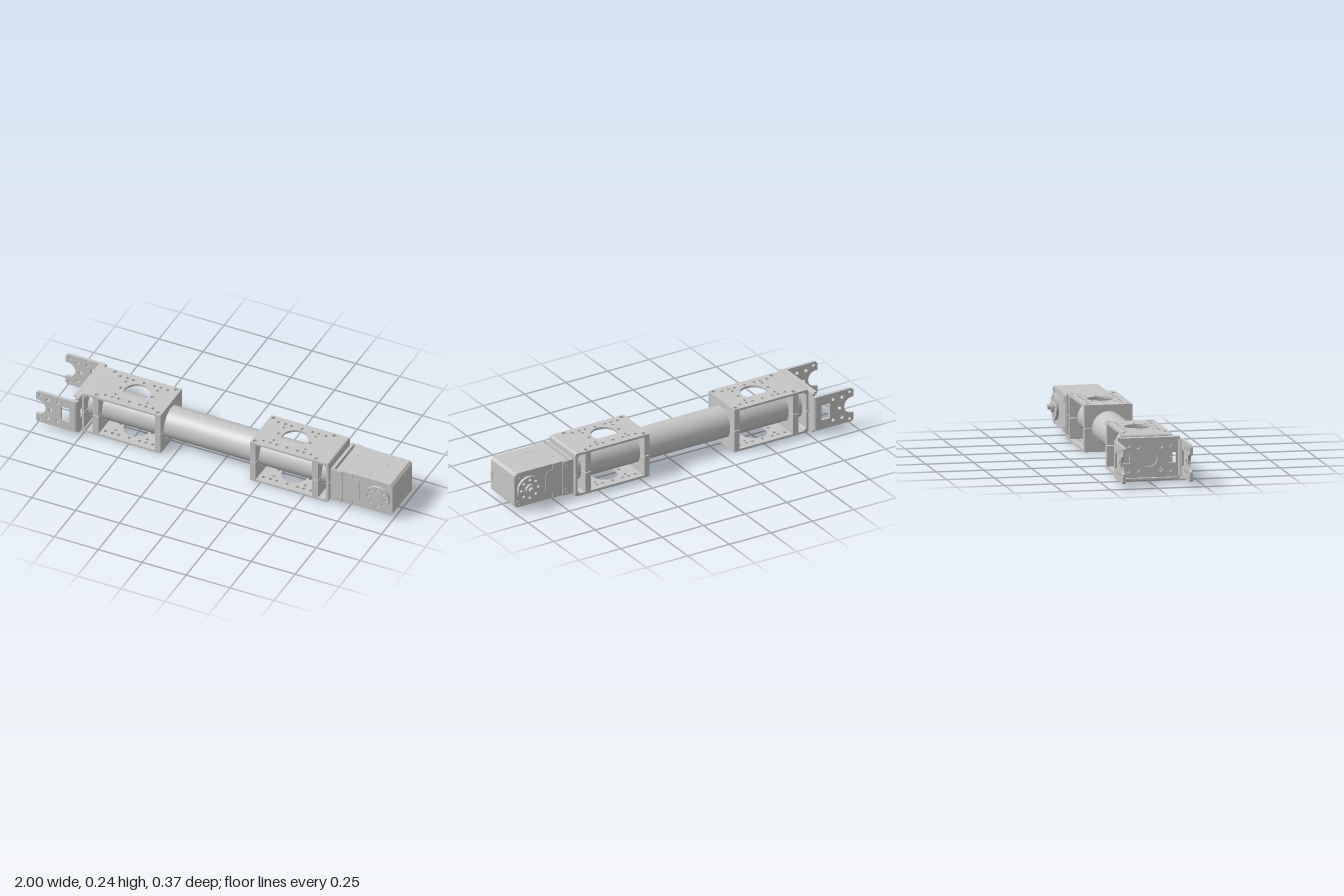
import * as THREE from 'three';
import { toCreasedNormals } from 'three/addons/utils/BufferGeometryUtils.js';

const metal = new THREE.MeshStandardMaterial({ color: 0xc6c6c6 });
metal.name = 'grey metal';
const CY = 0.122; // height of the main axis

function add(parent, name, geometry, x = 0, y = 0, z = 0) {
  const mesh = new THREE.Mesh(geometry, metal);
  mesh.name = name;
  mesh.position.set(x, y, z);
  parent.add(mesh);
}

const box = (w, h, d) => new THREE.BoxGeometry(w, h, d);

// Cylinder along a chosen axis
function rod(r, length, axis, sides = 32) {
  const g = new THREE.CylinderGeometry(r, r, length, sides);
  if (axis === 'x') g.rotateZ(-Math.PI / 2);
  if (axis === 'z') g.rotateX(Math.PI / 2);
  return g;
}

// Flat ring facing along z
function ring(inner, outer, thickness) {
  const shape = new THREE.Shape().absarc(0, 0, outer, 0, Math.PI * 2, false);
  return slab(shape, thickness, 'z', [round(0, 0, inner)]).translate(0, 0, -thickness / 2);
}

function polygon(points) {
  return new THREE.Shape(points.map(p => new THREE.Vector2(p[0], p[1])));
}

function rect(x0, y0, x1, y1) {
  return polygon([[x0, y0], [x1, y0], [x1, y1], [x0, y1]]);
}

function round(x, y, r) {
  return new THREE.Path().absarc(x, y, r, 0, Math.PI * 2, true);
}

// Extruded slab; axis is the direction of its thickness
function slab(shape, thickness, axis, holes = []) {
  shape.holes.push(...holes);
  const g = new THREE.ExtrudeGeometry(shape, { depth: thickness, bevelEnabled: false, curveSegments: 16 });
  if (axis === 'x') g.rotateY(Math.PI / 2);
  if (axis === 'y') g.rotateX(-Math.PI / 2);
  return toCreasedNormals(g, 0.6);
}

// Tube clamp: two drilled plates joined by split cross walls; x runs outwards
function clamp(name, x, turn) {
  const group = new THREE.Group();
  group.name = name;
  group.position.set(x, CY, 0);
  group.rotation.y = turn;

  const drilled = () => {
    const holes = [round(0.195, 0, 0.07)];
    for (const u of [0.105, 0.285]) holes.push(round(u, 0, 0.01));
    for (const s of [-1, 1]) {
      for (const u of [0.022, 0.37]) holes.push(round(u, s * 0.108, 0.012));
      for (const u of [0.06, 0.1, 0.135, 0.195, 0.255, 0.29, 0.33]) holes.push(round(u, s * 0.088, 0.009));
      for (const u of [0.105, 0.285]) holes.push(round(u, s * 0.06, 0.008));
    }
    return holes;
  };
  const plate = () => slab(rect(0, -0.127, 0.434, 0.127), 0.012, 'y', drilled());
  add(group, 'topPlate', plate(), 0, 0.11, 0);
  add(group, 'bottomPlate', plate(), 0, -0.122, 0);

  // Half wall with a semicircular seat for the tube
  const half = s => {
    const shape = new THREE.Shape();
    shape.moveTo(-0.127, s * 0.002);
    shape.lineTo(-0.086, s * 0.002);
    shape.absarc(0, s * 0.002, 0.086, Math.PI, 0, s > 0);
    shape.lineTo(0.127, s * 0.002);
    shape.lineTo(0.127, s * 0.11);
    shape.lineTo(-0.127, s * 0.11);
    return shape;
  };
  for (const s of [-1, 1]) {
    for (const [u, t] of [[0, 0.032], [0.353, 0.034], [0.434, 0.012]]) {
      add(group, s > 0 ? 'upperWall' : 'lowerWall', slab(half(s), t, 'x'), u);
    }
    add(group, 'plateBend', rod(0.012, 0.254, 'z', 24), 0.434, s * 0.11, 0);
  }
  return group;
}

// U-shaped fork at the left end
function fork() {
  const group = new THREE.Group();
  group.name = 'forkBracket';
  group.position.y = CY;
  const holes = [round(0, 0, 0.045)];
  for (const s of [-1, 1]) {
    holes.push(new THREE.Path(rect(s * 0.12 - 0.022, -0.027, s * 0.12 + 0.022, 0.027).getPoints()));
    for (const t of [-1, 1]) {
      holes.push(round(s * 0.06, t * 0.06, 0.012), round(s * 0.11, t * 0.065, 0.01));
    }
  }
  add(group, 'forkBase', slab(rect(-0.163, -0.11, 0.163, 0.11), 0.016, 'x', holes), -0.782);
  for (const s of [-1, 1]) add(group, 'forkFlange', box(0.035, 0.01, 0.3), -0.785, s * 0.105, 0);

  const arm = () => {
    const shape = new THREE.Shape();
    shape.moveTo(-1, -0.045);
    shape.lineTo(-1, -0.085);
    shape.lineTo(-0.99, -0.095);
    shape.lineTo(-0.782, -0.095);
    shape.lineTo(-0.782, 0.095);
    shape.lineTo(-0.99, 0.095);
    shape.lineTo(-1, 0.085);
    shape.lineTo(-1, 0.045);
    shape.lineTo(-0.99, 0.045);
    shape.absarc(-0.99, 0, 0.045, Math.PI / 2, -Math.PI / 2, true);
    const cuts = [round(-0.917, 0, 0.01),
      new THREE.Path(rect(-0.858, -0.043, -0.807, 0.043).getPoints())];
    for (const s of [-1, 1]) {
      cuts.push(round(-0.977, s * 0.077, 0.008), round(-0.932, s * 0.058, 0.01), round(-0.878, s * 0.058, 0.009));
    }
    return slab(shape, 0.016, 'z', cuts);
  };
  add(group, 'leftArm', arm(), 0, 0, 0.168);
  add(group, 'rightArm', arm(), 0, 0, -0.184);
  for (const s of [-1, 1]) add(group, 'armBend', rod(0.016, 0.19, 'y', 24), -0.782, 0, s * 0.168);
  return group;
}

// Boxed joint motor with its mounting bracket
function motor() {
  const group = new THREE.Group();
  group.name = 'jointMotor';
  group.position.y = CY;
  const profile = polygon([[0.68, -0.097], [0.985, -0.097], [0.998, -0.084], [0.998, 0.084],
    [0.985, 0.098], [0.68, 0.098]]);
  add(group, 'motorBody', slab(profile, 0.232, 'z'), 0, 0, -0.116);

  // Mounting bracket
  add(group, 'mountPlate', box(0.016, 0.194, 0.25), 0.658, 0, 0);
  add(group, 'mountBoss', rod(0.05, 0.05, 'x'), 0.66, 0, 0);
  for (const s of [-1, 1]) {
    add(group, 'mountTab', box(0.065, 0.194, 0.01), 0.6825, 0, s * 0.12);
    for (const t of [-1, 1]) {
      add(group, 'mountBolt', ring(0.009, 0.017, 0.004), 0.697, t * 0.077, s * 0.126);
      add(group, 'caseBolt', ring(0.009, 0.017, 0.004), 0.976, t * 0.077, s * 0.117);
    }
    // Raised side cover with a stepped edge
    const cover = polygon([[0.715, -0.097], [0.77, -0.097], [0.77, -0.066], [0.795, -0.066], [0.812, -0.05],
      [0.812, 0.05], [0.795, 0.066], [0.77, 0.066], [0.77, 0.097], [0.715, 0.097]]);
    add(group, 'sideCover', slab(cover, 0.003, 'z'), 0, 0, s > 0 ? 0.116 : -0.119);

    // Output disc drilled with a ring of bolt holes
    const disc = new THREE.Shape().absarc(0, 0, 0.068, 0, Math.PI * 2, false);
    const boltHoles = [];
    for (let i = 0; i < 8; i++) {
      const a = i * Math.PI / 4;
      boltHoles.push(round(0.051 * Math.cos(a), 0.051 * Math.sin(a), 0.008));
    }
    add(group, 'outputDisc', slab(disc, 0.016, 'z', boltHoles), 0.917, 0, s > 0 ? 0.115 : -0.131);
    add(group, 'discHub', rod(0.031, 0.003, 'z'), 0.917, 0, s * 0.1315);

    // Screws and slot on the top and bottom faces
    const y = s > 0 ? 0.098 : -0.097;
    for (const x of [0.725, 0.89]) {
      for (const z of [-0.042, 0.042]) add(group, 'faceScrew', rod(0.009, 0.002, 'y', 16), x, y, z);
    }
    add(group, 'faceSlot', box(0.08, 0.002, 0.034), 0.82, y, 0.074);
    add(group, 'endScrew', rod(0.009, 0.002, 'x', 16), 0.998, s * 0.056, -0.042);
  }
  add(group, 'endSlot', box(0.003, 0.047, 0.02), 0.998, 0, 0.106);

  // Rear axle
  add(group, 'axleCollar', rod(0.027, 0.016, 'z'), 0.917, 0, -0.138);
  add(group, 'axleTip', rod(0.015, 0.018, 'z', 24), 0.917, 0, -0.153);
  return group;
}

export function createModel() {
  const model = new THREE.Group();
  model.name = 'armLink';
  add(model, 'mainTube', rod(0.085, 1.385, 'x', 64), -0.0635, CY + 0.002, 0);
  model.add(clamp('leftClamp', 0.192, 0), clamp('rightClamp', -0.318, Math.PI), fork(), motor());
  return model;
}
